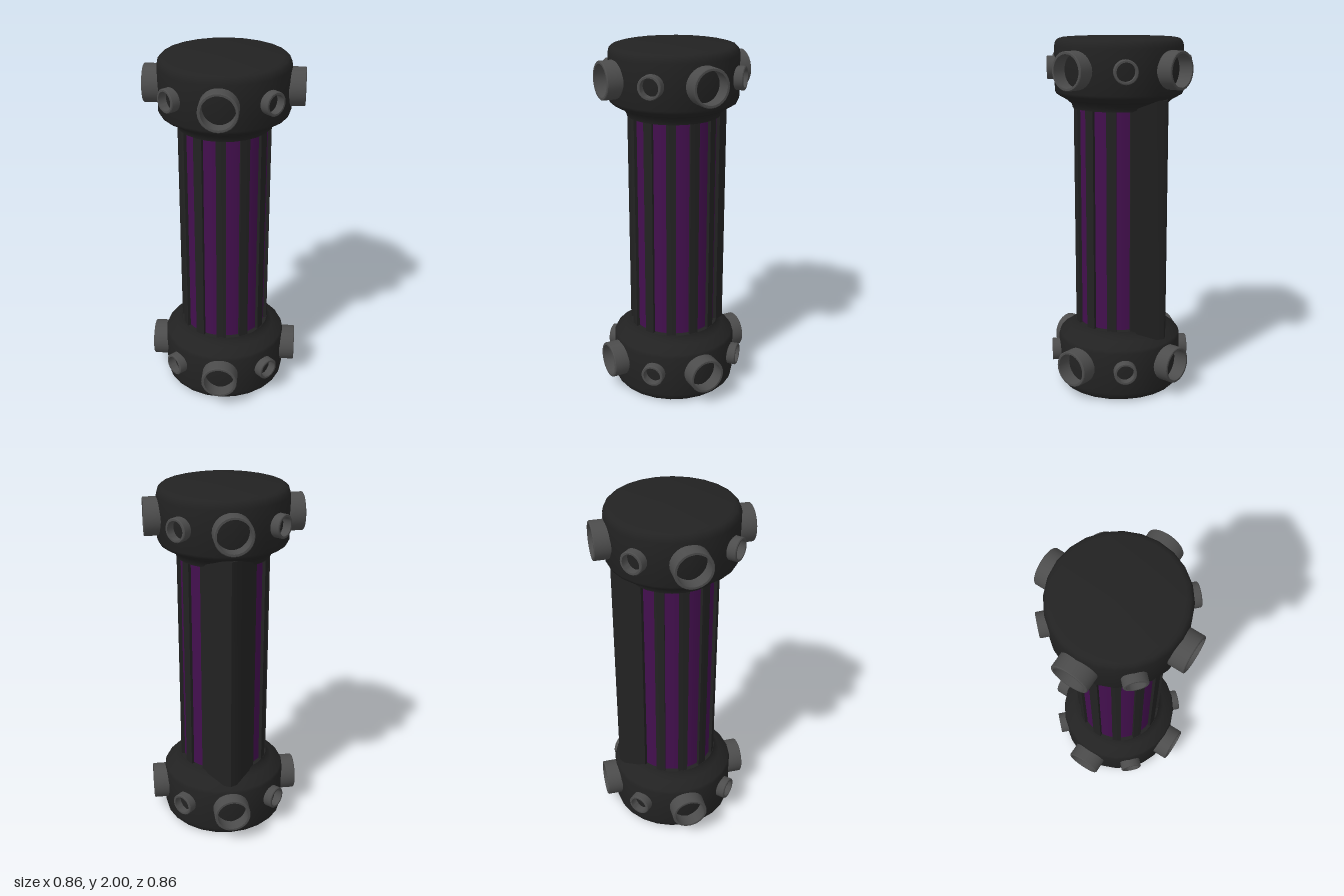
import * as THREE from 'three';
import { toCreasedNormals } from 'three/addons/utils/BufferGeometryUtils.js';

const rad = THREE.MathUtils.degToRad;
const bodyMat = new THREE.MeshStandardMaterial({ color: 0x222222 });
const portMat = new THREE.MeshStandardMaterial({ color: 0x4c4c4c });
const stripMat = new THREE.MeshStandardMaterial({ color: 0x430f4e, side: THREE.DoubleSide });

function add(parent, name, geometry, material) {
  const mesh = new THREE.Mesh(geometry, material);
  mesh.name = name;
  parent.add(mesh);
  return mesh;
}

function lathe(points, segments, crease = 0.7) {
  const profile = points.map(([x, y]) => new THREE.Vector2(x, y));
  return toCreasedNormals(new THREE.LatheGeometry(profile, segments), crease);
}

// Azimuths of the ten recessed strips, measured from the front
const stripAngles = Array.from({ length: 10 }, (_, i) => -135 + 30 * i);
const STRIP_HALF = 9;

// Grip outline: ribs with notches between them, closed by a ridge at the back
function gripShape() {
  const pts = [];
  const polar = (r, deg) => pts.push(new THREE.Vector2(r * Math.sin(rad(deg)), -r * Math.cos(rad(deg))));
  stripAngles.forEach((a, i) => {
    polar(0.255, a - STRIP_HALF);
    polar(0.225, a - STRIP_HALF);
    polar(0.225, a);
    polar(0.225, a + STRIP_HALF);
    polar(0.255, a + STRIP_HALF);
    if (i < 9) polar(0.255, a + 15);
  });
  const ridge = [[0.115, 0.24], [0.075, 0.277], [0.035, 0.315], [0, 0.333]];
  ridge.forEach(([x, y]) => pts.push(new THREE.Vector2(x, y)));
  ridge.slice(0, 3).reverse().forEach(([x, y]) => pts.push(new THREE.Vector2(-x, y)));
  return new THREE.Shape(pts);
}

// Open tube pointing out along its own +y
function portGeometry(radius, inner, from, to) {
  return lathe([
    [radius, from], [radius, to - 0.004], [radius - 0.004, to],
    [inner, to], [inner, from],
  ], 28);
}

export function createModel() {
  const model = new THREE.Group();
  model.name = 'handle';

  // Ribbed grip
  const grip = new THREE.ExtrudeGeometry(gripShape(), { depth: 1.36, bevelEnabled: false });
  grip.rotateX(-Math.PI / 2);
  grip.translate(0, 0.32, 0);
  add(model, 'grip', toCreasedNormals(grip, 0.6), bodyMat);

  // Coloured strips between the ribs
  for (const a of stripAngles) {
    const strip = new THREE.CylinderGeometry(0.237, 0.237, 1.24, 3, 1, true,
      rad(a - STRIP_HALF), rad(2 * STRIP_HALF));
    strip.translate(0, 1.005, 0);
    add(model, 'strip', strip, stripMat);
  }

  // End caps, the lower one a mirrored profile
  const topProfile = [
    [0, 1.62], [0.258, 1.62], [0.264, 1.64], [0.29, 1.665], [0.348, 1.698], [0.356, 1.715],
    [0.356, 1.955], [0.35, 1.98], [0.337, 1.994], [0.315, 2], [0, 2],
  ];
  const bottomProfile = topProfile.map(([x, y]) => [x, 2 - y]).reverse();
  add(model, 'topCap', lathe(topProfile, 24), bodyMat);
  add(model, 'bottomCap', lathe(bottomProfile, 24), bodyMat);

  // Large ports on the four sides, small ones on the diagonals
  const large = portGeometry(0.103, 0.088, 0.3, 0.428);
  const small = portGeometry(0.064, 0.05, 0.3, 0.398);
  for (const y of [0.185, 1.84]) {
    for (let i = 0; i < 8; i++) {
      const port = add(model, i % 2 ? 'smallPort' : 'largePort', i % 2 ? small : large, portMat);
      port.rotation.set(Math.PI / 2, (i * Math.PI) / 4, 0, 'YXZ');
      port.position.y = y;
    }
  }
  return model;
}
